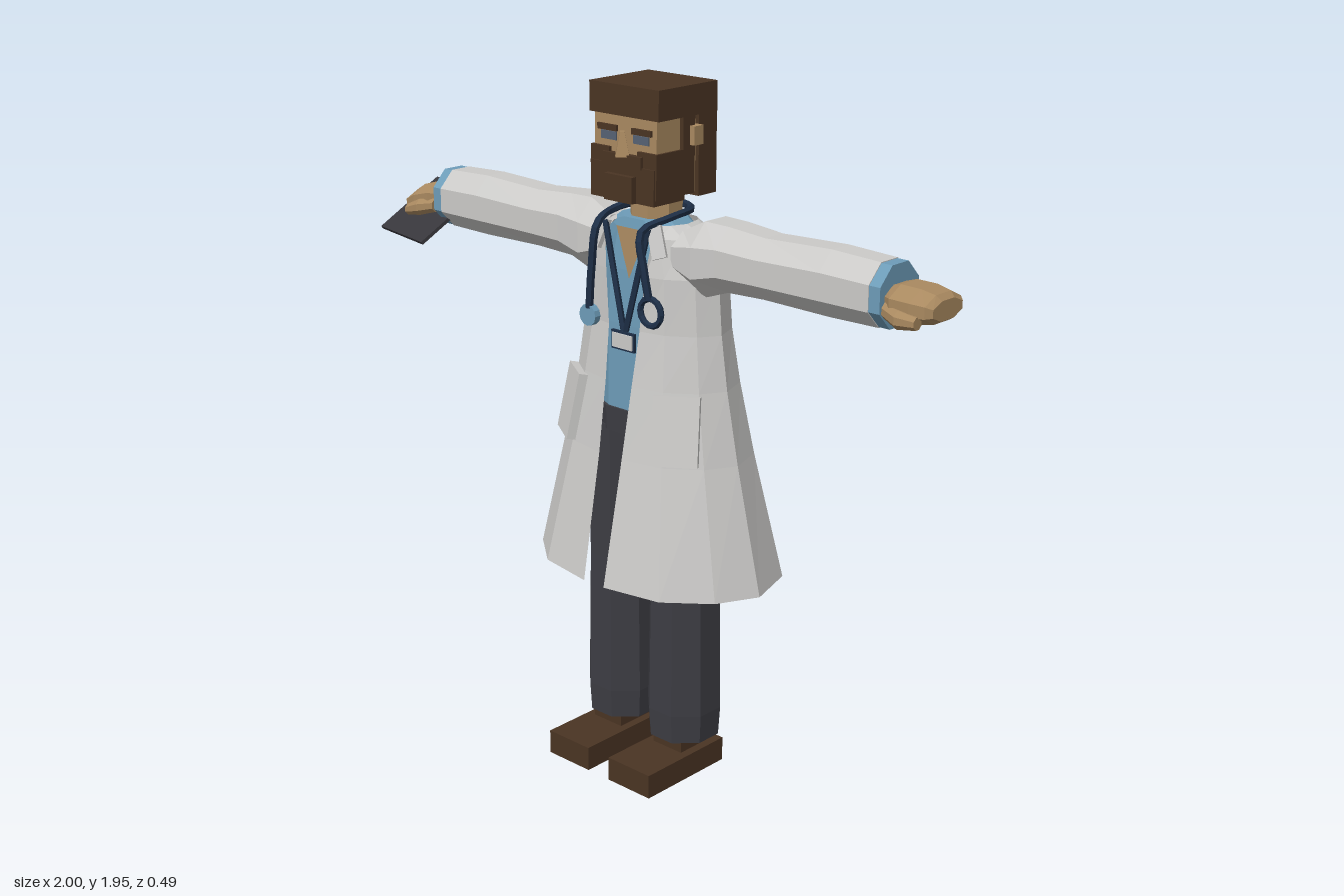
import * as THREE from 'three';

const mat = (name, color, side = THREE.FrontSide) => {
  const m = new THREE.MeshStandardMaterial({ color, side, flatShading: true });
  m.name = name;
  return m;
};

// Skin a list of rings (each a list of [x, y, z]) into a faceted surface
function loft(rings, closed = true) {
  const pos = [];
  const n = rings[0].length;
  const tri = (...p) => p.forEach(v => pos.push(...v));
  for (let i = 0; i < rings.length - 1; i++) {
    for (let j = 0; j < (closed ? n : n - 1); j++) {
      const k = (j + 1) % n;
      const [a, b, c, d] = [rings[i][j], rings[i][k], rings[i + 1][k], rings[i + 1][j]];
      tri(a, b, c);
      tri(a, c, d);
    }
  }
  if (closed) {
    const lo = rings[0], hi = rings[rings.length - 1];
    for (let j = 1; j < n - 1; j++) {
      tri(lo[0], lo[j + 1], lo[j]);
      tri(hi[0], hi[j], hi[j + 1]);
    }
  }
  const g = new THREE.BufferGeometry();
  g.setAttribute('position', new THREE.Float32BufferAttribute(pos, 3));
  g.computeVertexNormals();
  return g;
}

// Eight directions with flat facets facing the axes
const K = 1 / Math.cos(Math.PI / 8);
const oct = [...Array(8)].map((_, i) => {
  const a = (i + 0.5) * Math.PI / 4;
  return [Math.sin(a) * K, Math.cos(a) * K];
});
// Upright tube: rows of [y, halfX, halfZ]
const upright = (rows, cx = 0, cz = 0) =>
  loft(rows.map(([y, rx, rz]) => oct.map(([s, c]) => [cx + s * rx, y, cz + c * rz])));
// Sideways tube: rows of [x, centreY, halfY, halfZ, centreZ]
const sideways = (rows, s) =>
  loft(rows.map(([x, cy, ry, rz, cz = 0]) => oct.map(([p, c]) => [s * x, cy + c * ry, cz + s * p * rz])));

export function createModel() {
  const coat = mat('coat white', 0xcbcac8, THREE.DoubleSide);
  const cloth = mat('trouser grey', 0x3d3d43);
  const brown = mat('hair and shoe brown', 0x4a3423);
  const skin = mat('skin', 0xa98960);
  const blue = mat('shirt blue', 0x6d9cb8);
  const navy = mat('tube navy', 0x1e2f47);
  const board = mat('board charcoal', 0x38373c);
  const eye = mat('eye slate', 0x566273);

  const model = new THREE.Group();
  model.name = 'doctor';
  const body = new THREE.Group();
  body.name = 'body';
  body.position.x = 0.055;
  model.add(body);

  const add = (name, geo, m) => {
    const mesh = new THREE.Mesh(geo, m);
    mesh.name = name;
    body.add(mesh);
    return mesh;
  };
  // Box from its limits on each axis
  const box = (name, m, x0, x1, y0, y1, z0, z1) => {
    const b = add(name, new THREE.BoxGeometry(Math.abs(x1 - x0), y1 - y0, z1 - z0), m);
    b.position.set((x0 + x1) / 2, (y0 + y1) / 2, (z0 + z1) / 2);
    return b;
  };

  // Shirt, waist and neck
  add('shirt', upright([[1.05, 0.19, 0.1], [1.3, 0.19, 0.1], [1.45, 0.17, 0.095], [1.56, 0.13, 0.085], [1.59, 0.088, 0.08]]), blue);
  add('waist', upright([[0.99, 0.2, 0.103], [1.06, 0.2, 0.106]]), cloth);
  add('neck', upright([[1.5, 0.07, 0.065], [1.68, 0.07, 0.065]], 0, -0.005), skin);
  const vee = new THREE.BufferGeometry();
  vee.setAttribute('position', new THREE.Float32BufferAttribute(
    [0, 1.43, 0.101, 0.055, 1.565, 0.091, -0.055, 1.565, 0.091], 3));
  vee.computeVertexNormals();
  add('neckOpening', vee, skin);

  // Long coat: rows of [y, halfX, halfZ, half width of front opening]
  const half = [[0.55, 0.87], [0.85, 0.48], [1, 0], [0.88, -0.63], [0.65, -0.9]];
  const coatRows = [
    [0.595, 0.388, 0.243, 0.037], [0.95, 0.303, 0.175, 0.042], [1.15, 0.262, 0.142, 0.048],
    [1.3, 0.24, 0.12, 0.056], [1.45, 0.228, 0.115, 0.07], [1.55, 0.175, 0.103, 0.085],
    [1.58, 0.115, 0.093, 0.06]];
  add('coat', loft(coatRows.map(([y, rx, rz, g]) => {
    const side = [[g, y, rz], ...half.map(([x, z]) => [x * rx, y, z * rz])];
    return [...side, [0, y, -rz], ...side.map(([x, , z]) => [-x, y, z]).reverse()];
  }), false), coat);

  for (const s of [1, -1]) {
    const side = s > 0 ? 'left' : 'right';

    // Leg and shoe
    add(side + 'Leg', upright([[0.105, 0.096, 0.095], [0.19, 0.101, 0.1], [0.6, 0.094, 0.096], [1.0, 0.096, 0.098]], s * 0.117), cloth);
    box(side + 'Shoe', brown, s * 0.04, s * 0.195, 0, 0.07, -0.08, 0.23);
    box(side + 'Ankle', brown, s * 0.065, s * 0.17, 0.07, 0.11, -0.075, 0.07);

    // Sleeve, cuff, hand
    add(side + 'Sleeve', sideways([[0.13, 1.51, 0.06, 0.08], [0.205, 1.505, 0.102, 0.098, -0.01],
      [0.285, 1.518, 0.087, 0.094, -0.01], [0.41, 1.518, 0.08, 0.085], [0.62, 1.52, 0.086, 0.082], [0.77, 1.518, 0.082, 0.08]], s), coat);
    add(side + 'Cuff', sideways([[0.768, 1.518, 0.08, 0.078], [0.803, 1.518, 0.08, 0.078]], s), blue);
    const drop = s > 0 ? 0 : 0.015;
    add(side + 'Hand', sideways([[0.79, 1.51, 0.035, 0.05], [0.83, 1.512, 0.045, 0.08],
      [0.89, 1.512 - drop, 0.044, 0.082], [0.93, 1.512 - 2 * drop, 0.036, 0.074], [0.945, 1.51 - 2 * drop, 0.025, 0.06]], s), skin);
    add(side + 'Thumb', sideways([[0.81, 1.495, 0.02, 0.02, 0.06], [0.86, 1.485, 0.024, 0.024, 0.075],
      [0.915, 1.485 - drop, 0.016, 0.016, 0.078]], s), skin);

    // Coat pocket and collar flap
    const pocket = add(side + 'Pocket', new THREE.BoxGeometry(0.125, 0.188, 0.025), coat);
    pocket.position.set(s * 0.193, 1.053, 0.125);
    pocket.rotation.set(-0.2, s * 0.58, 0, 'YXZ');
    const flap = add(side + 'CollarFlap', new THREE.BoxGeometry(0.04, 0.085, 0.012), coat);
    flap.position.set(s * 0.1, 1.545, 0.1);
    flap.rotation.set(-0.25, s * 0.35, s * 0.3, 'YXZ');

    // Lanyard strand
    add(side + 'Lanyard', new THREE.TubeGeometry(new THREE.LineCurve3(
      new THREE.Vector3(s * 0.078, 1.58, 0.11), new THREE.Vector3(s * 0.004, 1.29, 0.118)), 1, 0.009, 5), navy);

    // Side of the face
    box(side + 'Ear', skin, s * 0.1, s * 0.138, 1.79, 1.84, -0.035, 0);
    box(side + 'Sideburn', brown, s * 0.1, s * 0.122, 1.78, 1.87, -0.02, 0.025);
    box(side + 'BeardSide', brown, s * 0.05, s * 0.117, 1.66, 1.78, -0.025, 0.122);
    box(side + 'Brow', brown, s * 0.027, s * 0.095, 1.822, 1.838, 0.11, 0.12);
    box(side + 'Eye', eye, s * 0.03, s * 0.085, 1.798, 1.82, 0.11, 0.117);
  }

  // Head, hair and beard
  box('head', skin, -0.11, 0.11, 1.66, 1.88, -0.08, 0.113);
  box('hairTop', brown, -0.123, 0.123, 1.865, 1.945, -0.105, 0.12);
  box('hairBack', brown, -0.122, 0.122, 1.65, 1.87, -0.105, -0.035);
  box('moustache', brown, -0.07, 0.07, 1.735, 1.768, 0.1, 0.13);
  box('beard', brown, -0.113, 0.113, 1.645, 1.74, 0.01, 0.127);
  box('chinBeard', brown, -0.05, 0.05, 1.645, 1.715, 0.1, 0.143);
  const nose = add('nose', new THREE.CylinderGeometry(0.008, 0.026, 0.065, 4), skin);
  nose.position.set(0, 1.795, 0.125);

  // Listening tube worn round the neck
  const path = [[-0.105, 1.34, 0.145], [-0.09, 1.46, 0.15], [-0.078, 1.575, 0.14], [-0.095, 1.6, 0.05], [-0.075, 1.605, -0.06],
    [0, 1.605, -0.095], [0.075, 1.605, -0.06], [0.095, 1.6, 0.05], [0.08, 1.575, 0.14], [0.1, 1.48, 0.15], [0.112, 1.405, 0.145]]
    .map(p => new THREE.Vector3(...p));
  add('neckTube', new THREE.TubeGeometry(new THREE.CatmullRomCurve3(path), 40, 0.011, 6), navy);
  const disc = add('chestPiece', new THREE.CylinderGeometry(0.03, 0.03, 0.02, 12), blue);
  disc.rotation.x = Math.PI / 2;
  disc.position.set(-0.106, 1.32, 0.142);
  add('earLoop', new THREE.TorusGeometry(0.037, 0.009, 6, 14), navy).position.set(0.115, 1.368, 0.14);

  // Badge
  box('badgeFrame', navy, -0.042, 0.042, 1.237, 1.289, 0.118, 0.126);
  box('badge', coat, -0.036, 0.036, 1.243, 1.283, 0.12, 0.13);

  // Tilted clipboard in the right hand
  const u = new THREE.Vector3(0.27, 0.01, 0.075).normalize();
  const v = new THREE.Vector3(-0.045, -0.13, 0.19).normalize();
  const clip = add('clipboard', new THREE.BoxGeometry(0.28, 0.01, 0.232), board);
  const n = new THREE.Vector3().crossVectors(v, u).normalize();
  v.crossVectors(u, n);
  clip.quaternion.setFromRotationMatrix(new THREE.Matrix4().makeBasis(u, n, v));
  clip.position.set(-0.898, 1.458, 0.012);

  return model;
}
